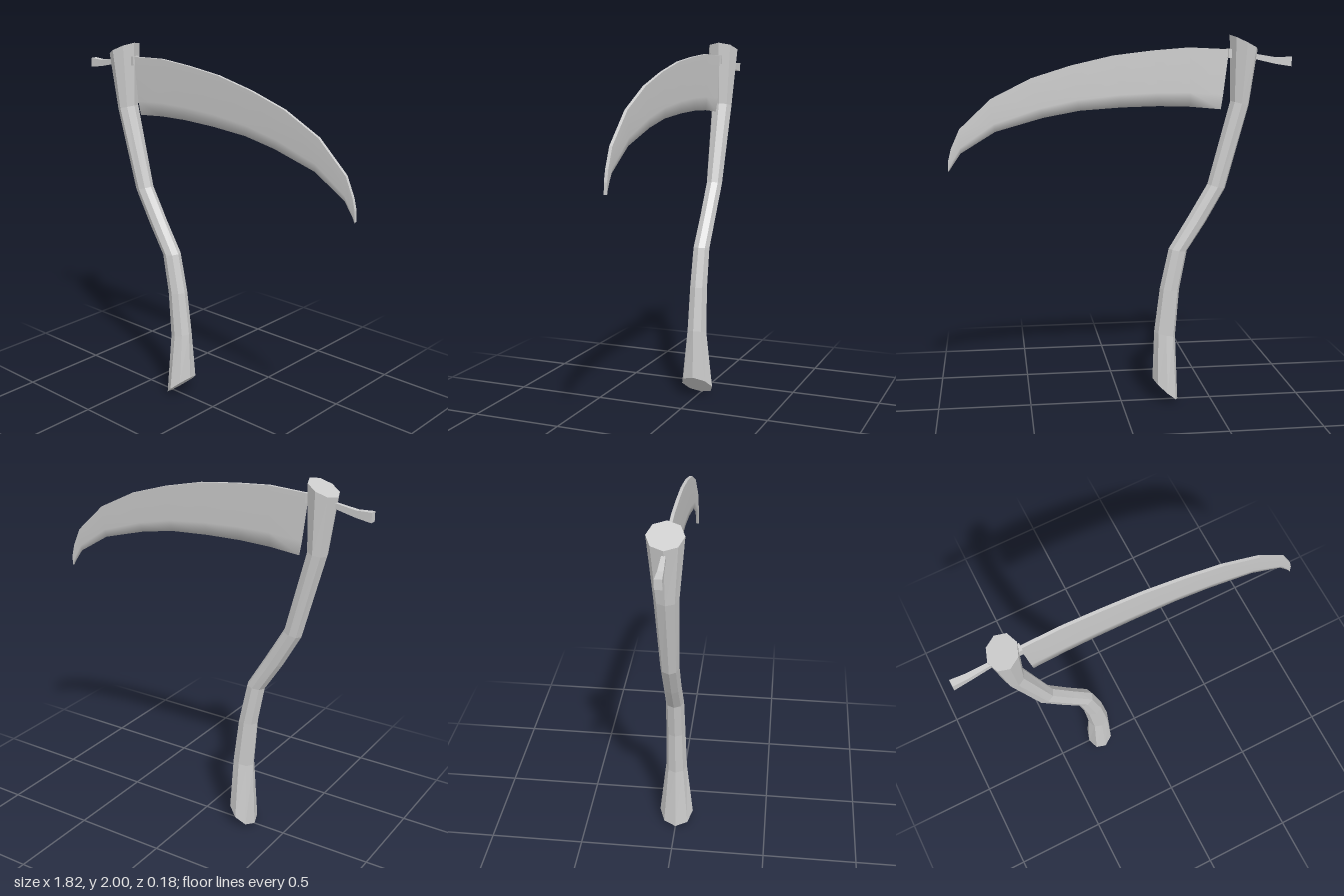
import * as THREE from 'three';

const material = (flat) => new THREE.MeshStandardMaterial({ color: 0xcccccc, flatShading: flat });

function makeMesh(name, points, index, flat) {
  const geometry = new THREE.BufferGeometry();
  geometry.setAttribute('position', new THREE.Float32BufferAttribute(points.flat(), 3));
  geometry.setIndex(index);
  geometry.computeVertexNormals();
  const mesh = new THREE.Mesh(geometry, material(flat));
  mesh.name = name;
  return mesh;
}

// Joins rings of n points; closed rings wrap round and get end caps
function loft(name, rings, flat, closed) {
  const n = rings[0].length, last = (rings.length - 1) * n, index = [];
  for (let i = 0; i < rings.length - 1; i++) {
    for (let j = 0; j < (closed ? n : n - 1); j++) {
      const k = (j + 1) % n, a = i * n + j, b = i * n + k;
      index.push(a, b, b + n, a, b + n, a + n);
    }
  }
  if (closed) {
    for (let j = 1; j < n - 1; j++) {
      index.push(0, j + 1, j, last, last + j, last + j + 1);
    }
  }
  return makeMesh(name, rings.flat(), index, flat);
}

export function createModel() {
  const group = new THREE.Group();

  // Crooked octagonal shaft: left x, left y, right x, right y, half depth (bottom to top)
  const shaft = [
    [-0.317, 0.0, -0.175, 0.125, 0.092],
    [-0.3, 0.37, -0.183, 0.395, 0.057],
    [-0.32, 0.63, -0.213, 0.64, 0.051],
    [-0.36, 0.845, -0.26, 0.86, 0.048],
    [-0.46, 1.0, -0.363, 1.03, 0.046],
    [-0.565, 1.185, -0.468, 1.21, 0.047],
    [-0.685, 1.63, -0.585, 1.655, 0.06],
    [-0.728, 1.925, -0.575, 2.0, 0.088],
  ].map(([lx, ly, rx, ry, depth]) => {
    const ring = [];
    for (let j = 0; j < 8; j++) {
      const angle = (j * Math.PI) / 4, t = (1 + Math.cos(angle)) / 2;
      ring.push([lx + (rx - lx) * t, ly + (ry - ly) * t, -depth * Math.sin(angle)]);
    }
    return ring;
  });
  group.add(loft('shaft', shaft, true, true));

  // Flared square tang through the shaft: x, bottom y, top y, half depth
  const tang = [
    [-0.91, 1.835, 1.885, 0.018],
    [-0.83, 1.847, 1.882, 0.014],
    [-0.72, 1.872, 1.9, 0.01],
    [-0.565, 1.88, 1.93, 0.02],
  ].map(([x, y0, y1, d]) => [[x, y0, d], [x, y0, -d], [x, y1, -d], [x, y1, d]]);
  group.add(loft('tang', tang, true, true));

  // Curved blade: spine x, spine y, cutting edge x, cutting edge y
  const blade = [
    [-0.572, 1.925, -0.535, 1.61],
    [-0.36, 1.935, -0.37, 1.625],
    [-0.17, 1.92, -0.2, 1.63],
    [0.04, 1.895, 0.0, 1.625],
    [0.26, 1.845, 0.22, 1.61],
    [0.47, 1.78, 0.41, 1.575],
    [0.68, 1.675, 0.66, 1.505],
    [0.845, 1.52, 0.84, 1.395],
    [0.89, 1.42, 0.875, 1.345],
    [0.905, 1.36, 0.895, 1.315],
    [0.907, 1.305, 0.905, 1.3],
  ];
  const d = 0.008;
  const sections = blade.map(([sx, sy, ex, ey]) => {
    const mx = ex + (sx - ex) * 0.24, my = ey + (sy - ey) * 0.24;
    return [[sx, sy, d], [mx, my, d], [ex, ey, 0], [mx, my, -d], [sx, sy, -d]];
  });
  const bladeGroup = new THREE.Group();
  bladeGroup.name = 'blade';
  bladeGroup.add(loft('bladeFaces', sections, false, false));
  bladeGroup.add(loft('bladeSpine', sections.map((s) => [s[4], s[0]]), true, false));
  // Flat end of the blade beside the shaft
  bladeGroup.add(makeMesh('bladeHeel', sections[0], [0, 2, 1, 0, 3, 2, 0, 4, 3], true));
  group.add(bladeGroup);

  return group;
}
